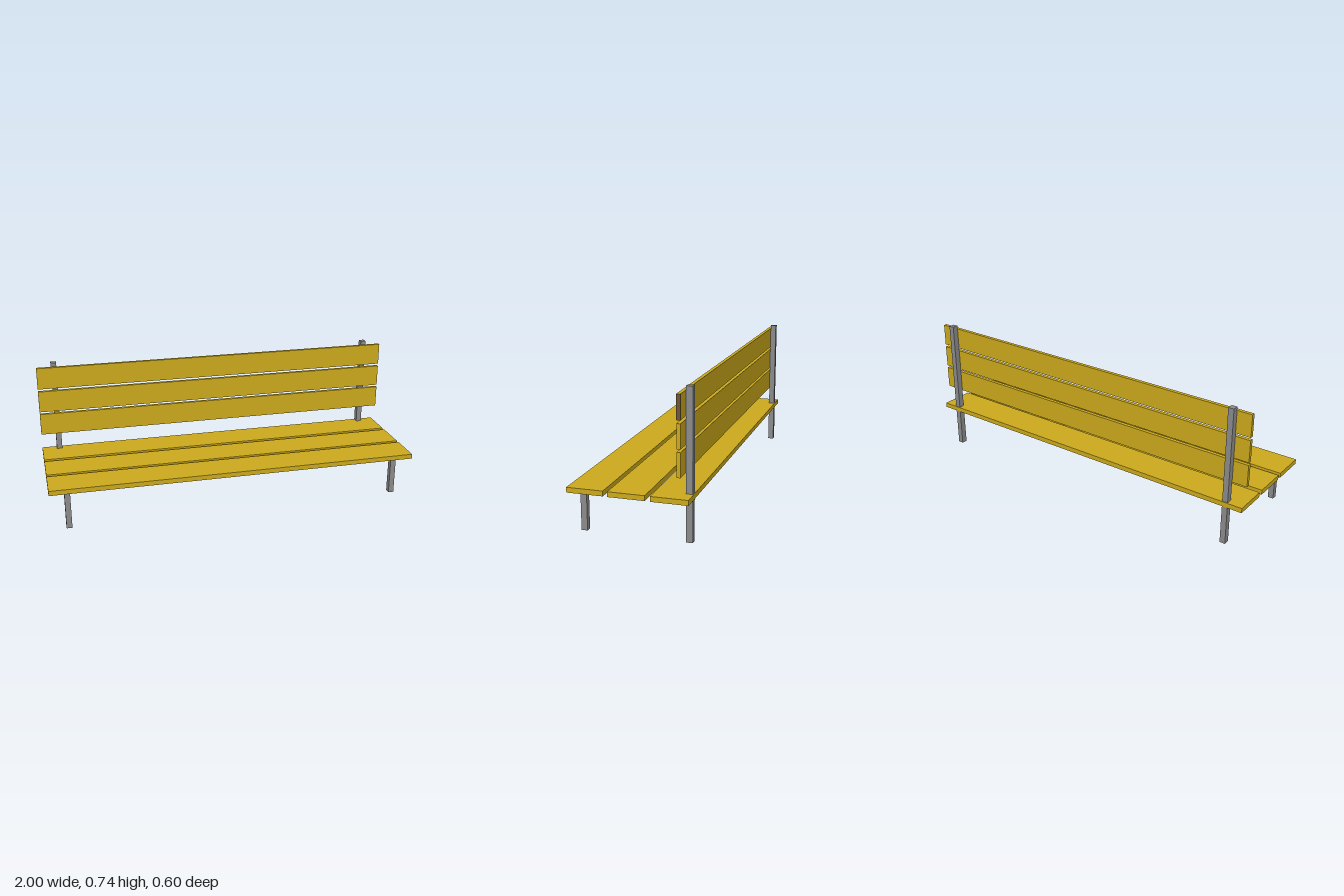
import * as THREE from 'three';

export function createModel() {
  const bench = new THREE.Group();
  bench.name = 'bench';

  const wood = new THREE.MeshStandardMaterial({ color: 0xcdab1c });
  const endGrain = new THREE.MeshStandardMaterial({ color: 0x6e543a });
  const metal = new THREE.MeshStandardMaterial({ color: 0x8c8c8c });

  // Box given by its x, y and z ranges
  function addBox(name, [x0, x1], [y0, y1], [z0, z1], material) {
    const mesh = new THREE.Mesh(new THREE.BoxGeometry(x1 - x0, y1 - y0, z1 - z0), material);
    mesh.position.set((x0 + x1) / 2, (y0 + y1) / 2, (z0 + z1) / 2);
    mesh.name = name;
    bench.add(mesh);
  }

  const span = [-1, 1];

  // Three seat planks, front to back, each a hair lower than the last
  [[0.115, 0.298], [-0.09, 0.093], [-0.298, -0.115]].forEach((z, i) => {
    const drop = i * 0.0007;
    addBox(`seatPlank${i + 1}`, span, [0.213 - drop, 0.239 - drop], z, wood);
  });

  // Three backrest slats, bottom to top; the top one has a dark left end
  [[0.338, 0.457], [0.471, 0.589], [0.604, 0.723]].forEach((y, i) => {
    const material = i === 2 ? [endGrain, wood, wood, wood, wood, wood] : wood;
    addBox(`backSlat${i + 1}`, span, y, [-0.261, -0.242], material);
  });

  // Short front legs, and rear posts that carry the backrest
  for (const [side, x] of [['left', [0.89, 0.92]], ['right', [-0.92, -0.89]]]) {
    addBox(`${side}FrontLeg`, x, [0, 0.215], [0.232, 0.263], metal);
    addBox(`${side}RearPost`, x, [0, 0.743], [-0.294, -0.262], metal);
  }

  return bench;
}
